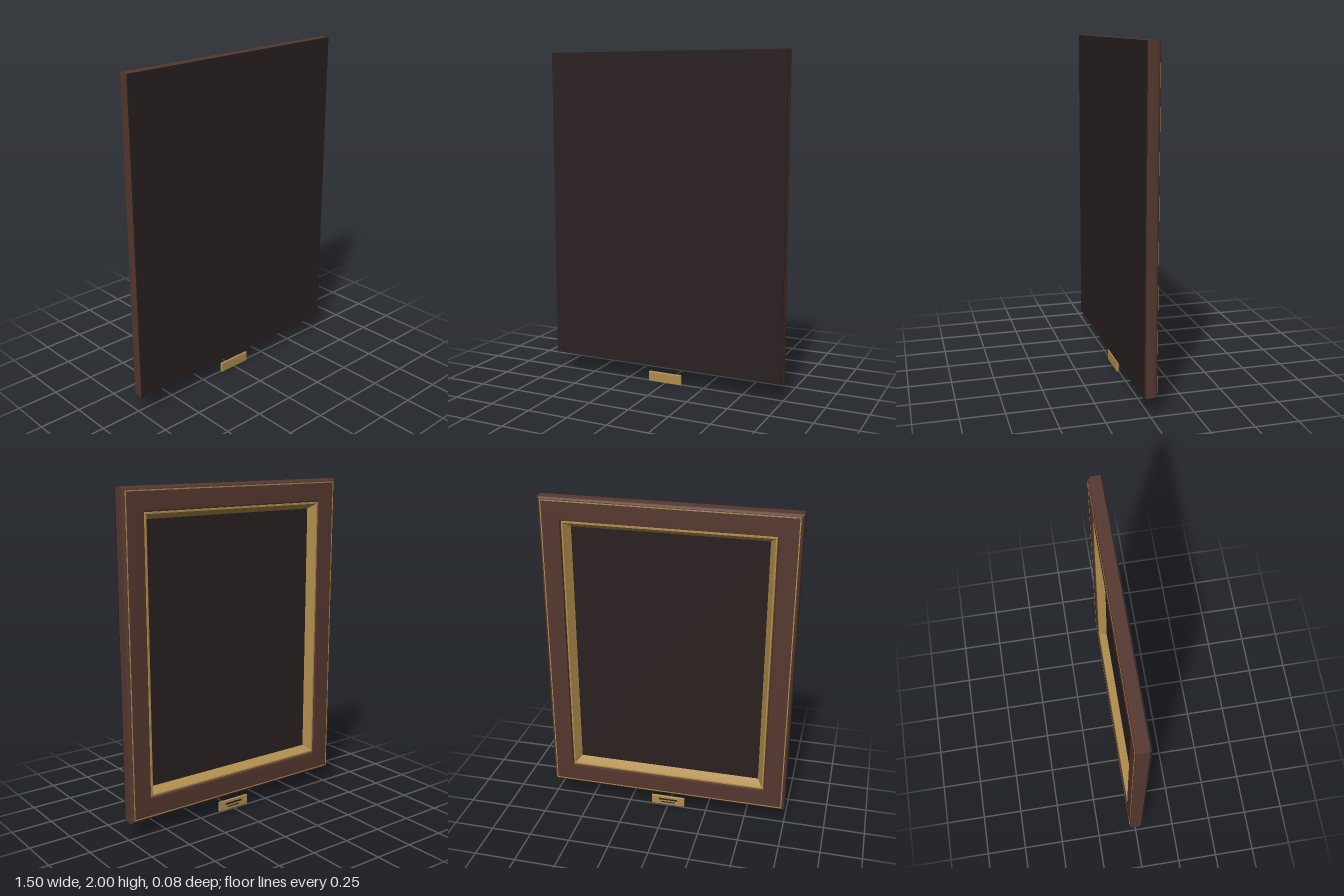
import * as THREE from 'three';
import { toCreasedNormals } from 'three/addons/utils/BufferGeometryUtils.js';
import { RoundedBoxGeometry } from 'three/addons/geometries/RoundedBoxGeometry.js';

const HALF_W = 0.75, BOTTOM = 0.11, TOP = 2;
const MID_Y = (BOTTOM + TOP) / 2;

const material = (name, color) => {
  const m = new THREE.MeshStandardMaterial({ color });
  m.name = name;
  return m;
};

// Sweeps a profile of [inset, z] points around the rectangle with mitred corners.
// Points run from the outer edge, over the display face (-z), to the inner edge.
function mitredRing(profile) {
  const loops = profile.map(([i, z]) => {
    const x = HALF_W - i, y0 = BOTTOM + i, y1 = TOP - i;
    return [[-x, y0, z], [x, y0, z], [x, y1, z], [-x, y1, z]];
  });
  const positions = [];
  for (let p = 0; p < loops.length - 1; p++) {
    for (let s = 0; s < 4; s++) {
      const n = (s + 1) % 4;
      const a = loops[p][s], b = loops[p][n], c = loops[p + 1][n], d = loops[p + 1][s];
      for (const v of [a, d, c, a, c, b]) positions.push(...v);
    }
  }
  const g = new THREE.BufferGeometry();
  g.setAttribute('position', new THREE.Float32BufferAttribute(positions, 3));
  g.computeVertexNormals();
  return toCreasedNormals(g, 0.6);
}

export function createModel() {
  const group = new THREE.Group();
  const wood = material('brown wood', 0x55382f);
  const gold = material('antique gold', 0xb08d4c);
  const dark = material('dark backing', 0x2a2020);

  const add = (name, geometry, mat, x = 0, y = 0, z = 0) => {
    const mesh = new THREE.Mesh(geometry, mat);
    mesh.name = name;
    mesh.position.set(x, y, z);
    group.add(mesh);
    return mesh;
  };

  // Wooden moulding with a rounded outer shoulder and a stepped inner edge
  const shoulder = [];
  for (let k = 0; k <= 5; k++) {
    const t = (k / 5) * Math.PI / 2;
    shoulder.push([0.022 * (1 - Math.cos(t)), -0.018 - 0.022 * Math.sin(t)]);
  }
  add('frameMoulding', mitredRing([
    [0, 0.032], ...shoulder, [0.128, -0.04], [0.132, -0.028], [0.14, -0.028], [0.14, 0.03],
  ]), wood);

  // Thin gilt line round the outside of the moulding face
  add('outerGiltLine', mitredRing([
    [0.017, -0.037], [0.017, -0.041], [0.023, -0.041], [0.023, -0.037],
  ]), gold);

  // Gilt slip sloping down to the picture, with a raised bead at its outer edge
  add('innerGiltSlip', mitredRing([
    [0.136, -0.028], [0.137, -0.035], [0.146, -0.035], [0.149, -0.029], [0.178, 0.016],
  ]), gold);

  // Picture surface and backing board
  add('pictureSurface', new THREE.BoxGeometry(1.18, 1.57, 0.008), dark, 0, MID_Y, 0.019);
  add('backingBoard', new THREE.BoxGeometry(2 * HALF_W, TOP - BOTTOM, 0.009), dark, 0, MID_Y, 0.0355);

  // Nameplate below the frame
  const plateY = 0.0315;
  add('nameplate', new RoundedBoxGeometry(0.216, 0.063, 0.014, 3, 0.004), gold, 0, plateY, 0.009);

  // Plain engraved bars on the plate
  for (const [width, height, dy] of [[0.12, 0.011, 0.009], [0.085, 0.007, -0.011]]) {
    add('engravedBar', new THREE.BoxGeometry(width, height, 0.002), dark, 0, plateY + dy, 0.0015);
  }

  // Domed plate pins
  for (const side of [-1, 1]) {
    const pin = add('platePin', new THREE.SphereGeometry(0.006, 12, 8), gold, side * 0.092, plateY, 0.002);
    pin.scale.z = 0.8;
  }

  return group;
}
